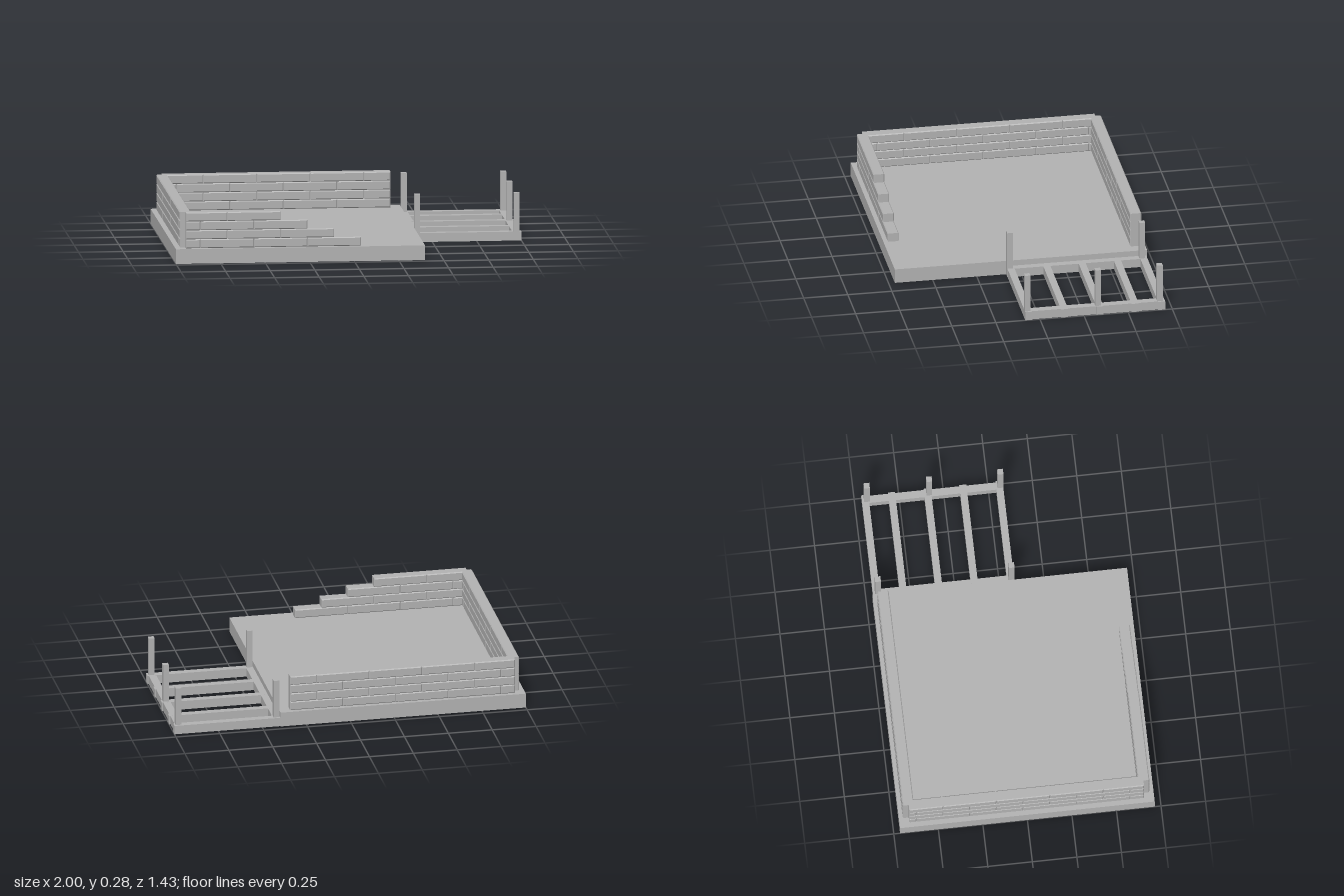
import * as THREE from 'three';

const BASE_TOP = 0.083, COURSE = 0.0505, BRICK = 0.3, THICK = 0.063, BEVEL = 0.005;

export function createModel() {
  const model = new THREE.Group();
  model.name = 'ruinedHouse';
  const grey = new THREE.MeshStandardMaterial({ color: 0xb2b2b2 });
  grey.name = 'grey';

  function box(parent, name, x0, x1, y0, y1, z0, z1) {
    const mesh = new THREE.Mesh(new THREE.BoxGeometry(x1 - x0, y1 - y0, z1 - z0), grey);
    mesh.position.set((x0 + x1) / 2, (y0 + y1) / 2, (z0 + z1) / 2);
    mesh.name = name;
    parent.add(mesh);
  }

  // One brick: full-size outline, bevelled around its two wall faces
  function brick(parent, x0, x1, y) {
    const outline = new THREE.Shape();
    outline.moveTo(x0, y);
    outline.lineTo(x1, y);
    outline.lineTo(x1, y + COURSE);
    outline.lineTo(x0, y + COURSE);
    outline.closePath();
    const geometry = new THREE.ExtrudeGeometry(outline, {
      depth: THICK - 2 * BEVEL, bevelEnabled: true, bevelThickness: BEVEL,
      bevelSize: BEVEL, bevelOffset: -BEVEL, bevelSegments: 1,
    });
    geometry.translate(0, 0, -THICK / 2 + BEVEL);
    const mesh = new THREE.Mesh(geometry, grey);
    mesh.name = 'brick';
    parent.add(mesh);
  }

  // Four courses in running bond; joint(i) is a joint position, end(i) the course end
  function wall(name, start, end, joint) {
    const group = new THREE.Group();
    group.name = name;
    for (let i = 0; i < 4; i++) {
      let x1 = end(i);
      let next = joint(i);
      while (x1 > start + 0.001) {
        while (next > x1 - 0.001) next -= BRICK;
        const x0 = Math.max(start, next);
        brick(group, x0, x1, BASE_TOP + i * COURSE);
        x1 = x0;
      }
    }
    model.add(group);
    return group;
  }

  // Foundation slab
  box(model, 'foundation', -1, 0.397, 0, BASE_TOP, -0.715, 0.715);

  // Brick walls, the front one broken down in steps
  const back = wall('backWall', -0.942, () => 0.337, (i) => 0.337 - (i % 2) * BRICK / 2);
  back.position.z = -0.662;
  const front = wall('frontWall', -0.942, (i) => 0.04 - i * BRICK / 2, (i) => 0.04 - i * BRICK / 2);
  front.position.z = 0.66;
  const side = wall('rightWall', -0.66, () => 0.658, (i) => 0.88 - (i % 2) * BRICK / 2);
  side.rotation.y = -Math.PI / 2;
  side.position.x = -0.942;

  // Open porch frame: two long beams with cross beams between and past them
  const porch = new THREE.Group();
  porch.name = 'porchFrame';
  model.add(porch);
  box(porch, 'innerBeam', 0.397, 0.437, 0, 0.05, -0.71, 0.08);
  box(porch, 'outerBeam', 0.95, 0.993, 0, 0.05, -0.71, 0.08);
  for (const z of [-0.69, -0.54, -0.34, -0.14, 0.063]) {
    box(porch, 'crossBeam', 0.41, 1, 0, 0.0502, z - 0.02, z + 0.02);
  }

  // Porch posts
  for (const [x, z] of [[0.416, 0.068], [0.416, -0.682], [0.974, 0.068], [0.974, -0.332], [0.974, -0.682]]) {
    box(porch, 'post', x - 0.016, x + 0.016, 0.001, 0.27, z - 0.016, z + 0.016);
  }
  return model;
}
